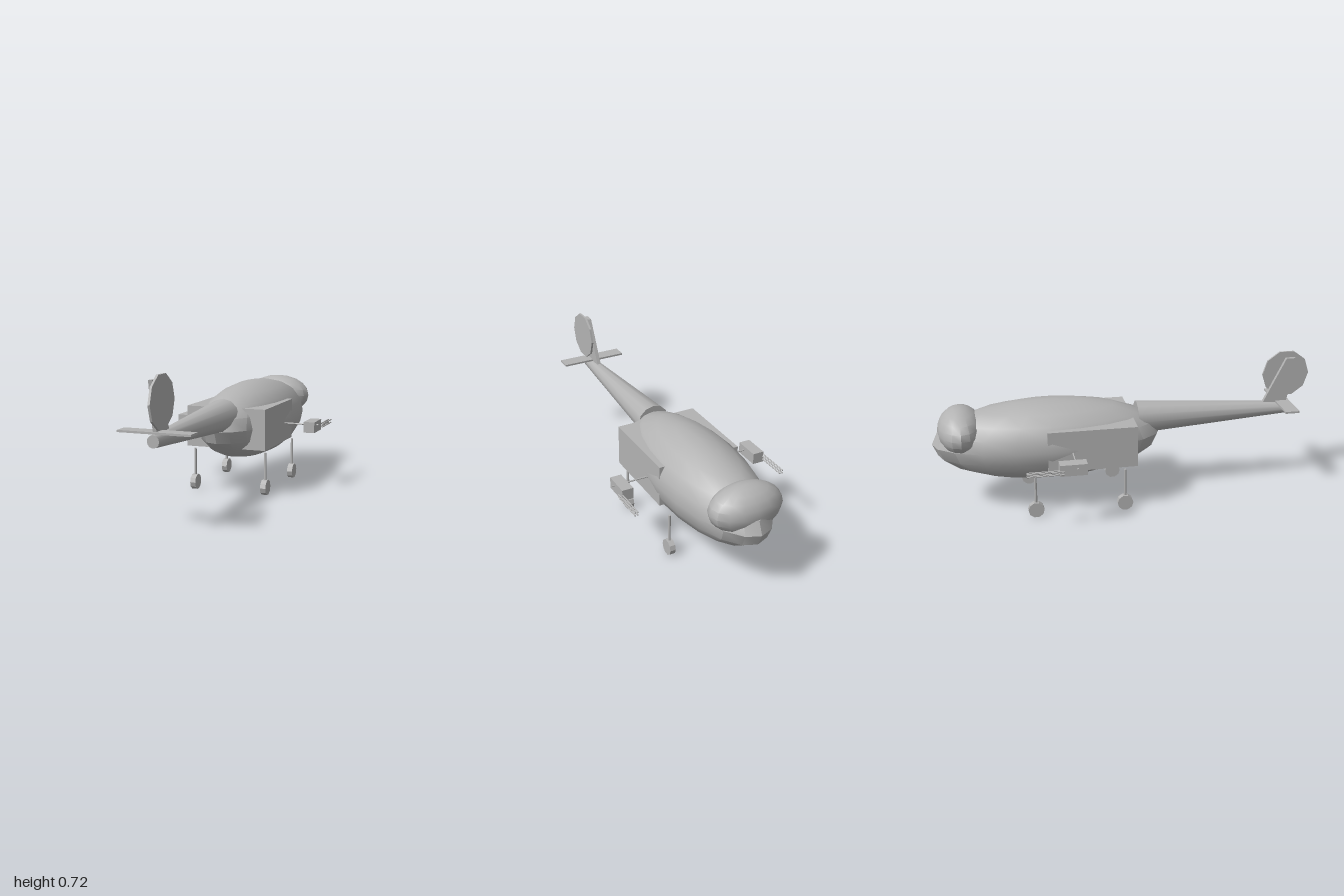
import * as THREE from 'three';
import { toCreasedNormals } from 'three/addons/utils/BufferGeometryUtils.js';

export function createModel() {
  const model = new THREE.Group();
  model.name = 'helicopter';
  const grey = new THREE.MeshStandardMaterial({ color: 0xb3b3b3 });
  grey.name = 'plain grey';

  const add = (name, geometry, x = 0, y = 0, z = 0) => {
    const mesh = new THREE.Mesh(toCreasedNormals(geometry, 0.53), grey);
    mesh.name = name;
    mesh.position.set(x, y, z);
    model.add(mesh);
    return mesh;
  };
  const ellipsoid = (rx, ry, rz, sides, rings) =>
    new THREE.SphereGeometry(1, sides, rings).scale(rx, ry, rz);
  const box = (w, h, d) => new THREE.BoxGeometry(w, h, d);
  // Cylinder lying along x
  const axle = (r, width, sides) =>
    new THREE.CylinderGeometry(r, r, width, sides).rotateZ(Math.PI / 2);

  // Fuselage with the nose towards -z
  add('fuselage', ellipsoid(0.226, 0.207, 0.59, 20, 10), 0, 0.353, -0.41);
  add('canopy', ellipsoid(0.188, 0.115, 0.117, 16, 10), 0, 0.428, -0.852);
  add('sideCompartment', box(0.436, 0.215, 0.455), 0, 0.353, -0.205);

  // Tail
  add('tailBoom', new THREE.CylinderGeometry(0.03, 0.086, 0.835, 12).rotateX(Math.PI / 2),
    0, 0.426, 0.4725);
  add('tailplane', box(0.36, 0.01, 0.075), 0, 0.463, 0.848);

  // Swept fin, drawn as (-z, y) and extruded across x
  const finShape = new THREE.Shape([
    [-0.74, 0.46], [-0.86, 0.70], [-0.91, 0.70], [-0.87, 0.46],
  ].map(([u, v]) => new THREE.Vector2(u, v)));
  const fin = new THREE.ExtrudeGeometry(finShape, { depth: 0.02, bevelEnabled: false });
  add('tailFin', fin.translate(0, 0, -0.01).rotateY(Math.PI / 2));
  add('tailRotorDisc', axle(0.127, 0.011, 10), 0.035, 0.604, 0.873);

  // Weapon mounts
  add('mountRod', axle(0.004, 0.82, 8), 0, 0.343, -0.307);
  for (const side of [-1, 1]) {
    add('gunPod', box(0.059, 0.058, 0.136), side * 0.369, 0.334, -0.327);
    for (const x of [0.395, 0.409]) {
      for (const y of [0.321, 0.336]) {
        const barrel = new THREE.CylinderGeometry(0.0035, 0.0035, 0.18, 8).rotateX(Math.PI / 2);
        add('gunBarrel', barrel, side * x, y, -0.466);
      }
    }
    // Landing gear
    for (const z of [-0.04, -0.5]) {
      add('gearStrut', new THREE.CylinderGeometry(0.007, 0.007, 0.18, 8), side * 0.199, 0.134, z);
      add('wheel', axle(0.041, 0.03, 10), side * 0.199, 0.04, z);
    }
  }
  return model;
}
